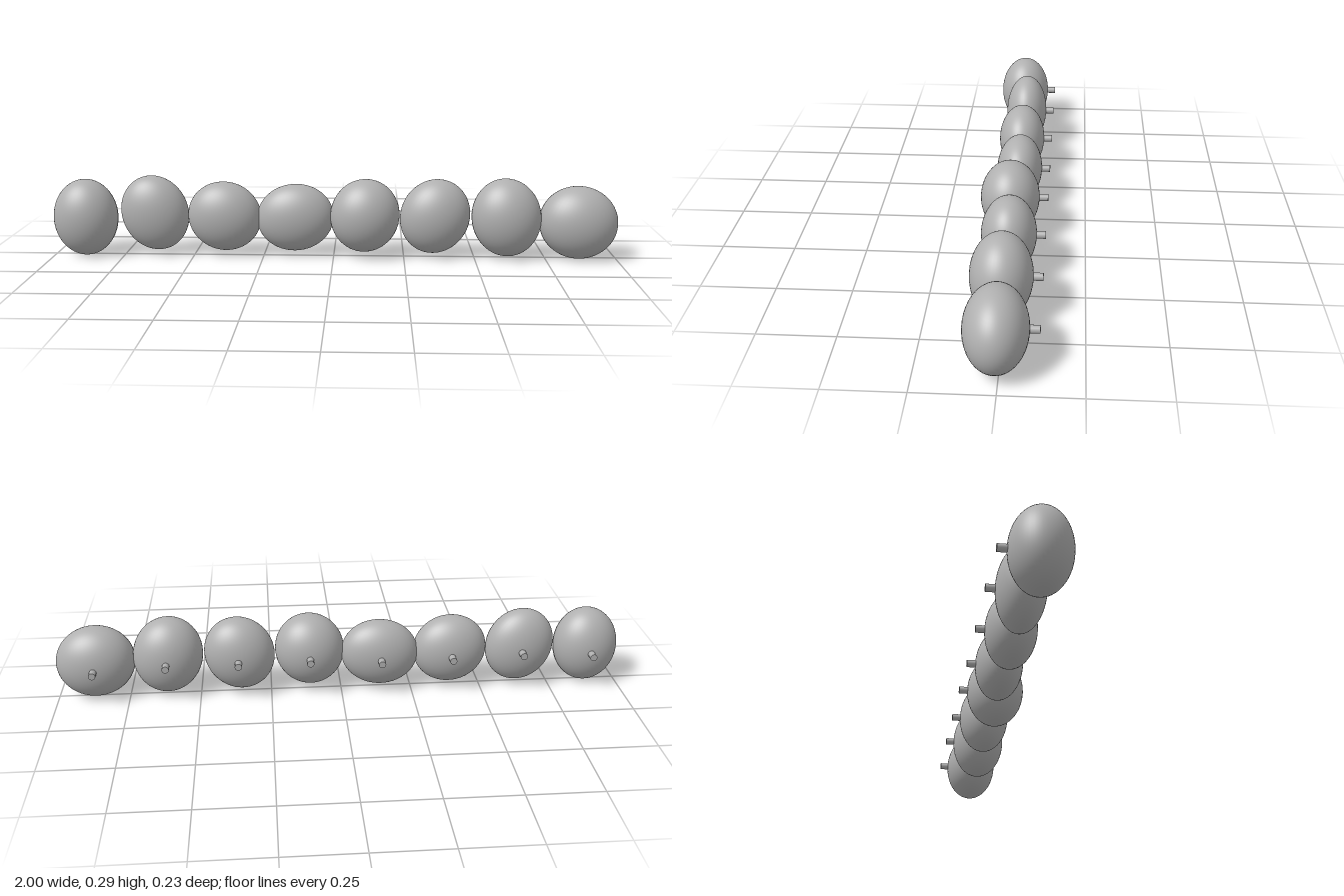
import * as THREE from 'three';

// x centre, y centre, half width, half height, front depth, tilt
const PEBBLES = [
  [-0.886, 0.141, 0.114, 0.137, 0.104, 0],
  [-0.64, 0.155, 0.119, 0.136, 0.07, 0.35],
  [-0.389, 0.146, 0.131, 0.123, 0.083, -0.3],
  [-0.137, 0.142, 0.137, 0.12, 0.075, 0.1],
  [0.111, 0.155, 0.122, 0.13, 0.115, -0.2],
  [0.359, 0.152, 0.122, 0.134, 0.094, -0.4],
  [0.61, 0.151, 0.122, 0.139, 0.11, 0.15],
  [0.863, 0.135, 0.138, 0.129, 0.108, -0.2],
];
const BACK = 0.088; // common back plane of the pebbles
const STEM_END = 0.118;

export function createModel() {
  const group = new THREE.Group();
  const grey = new THREE.MeshStandardMaterial({ color: 0xb0b0b0 });
  grey.name = 'grey';
  const ball = new THREE.SphereGeometry(1, 48, 32);
  const stemLength = 0.05;
  const peg = new THREE.CylinderGeometry(0.0125, 0.0125, stemLength, 16).rotateX(Math.PI / 2);

  PEBBLES.forEach(([x, y, rx, ry, front, tilt], i) => {
    // Flattened pebble, tilted a little in its own plane
    const pebble = new THREE.Mesh(ball, grey);
    pebble.name = `pebble${i + 1}`;
    pebble.scale.set(rx, ry, (front + BACK) / 2);
    pebble.rotation.z = tilt;
    pebble.position.set(x, y, (front - BACK) / 2);
    // Short round peg on the back
    const stem = new THREE.Mesh(peg, grey);
    stem.name = `mountingPeg${i + 1}`;
    stem.position.set(-0.885 + i * 0.2495, y, -STEM_END + stemLength / 2);
    group.add(pebble, stem);
  });
  return group;
}
